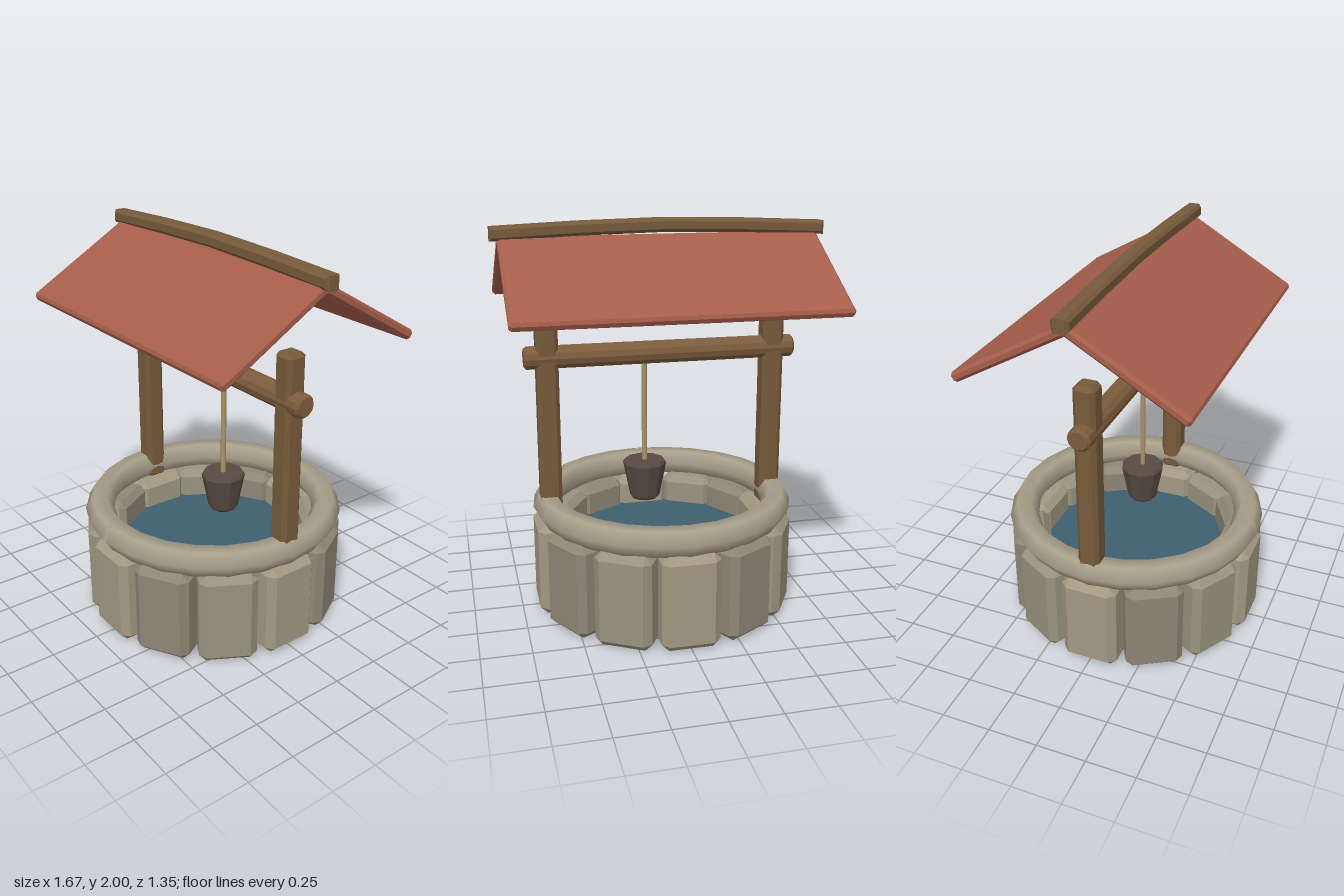
import * as THREE from 'three';
import { ConvexGeometry } from 'three/addons/geometries/ConvexGeometry.js';

const mat = (name, color, side = THREE.FrontSide) => {
  const m = new THREE.MeshStandardMaterial({ color, side });
  m.name = name;
  return m;
};

// Box with every edge chamfered by c
function chamferBox(w, h, d, c) {
  const pts = [];
  const [x, y, z] = [w / 2, h / 2, d / 2];
  for (const sx of [-1, 1]) for (const sy of [-1, 1]) for (const sz of [-1, 1]) {
    pts.push(new THREE.Vector3(sx * x, sy * (y - c), sz * (z - c)));
    pts.push(new THREE.Vector3(sx * (x - c), sy * y, sz * (z - c)));
    pts.push(new THREE.Vector3(sx * (x - c), sy * (y - c), sz * z));
  }
  return new ConvexGeometry(pts);
}

// Faceted turned shape from [radius, height] pairs, bottom to top
function turned(profile, sides) {
  const g = new THREE.LatheGeometry(profile.map(([r, y]) => new THREE.Vector2(r, y)), sides).toNonIndexed();
  g.computeVertexNormals();
  return g;
}

export function createModel() {
  const well = new THREE.Group();
  well.name = 'well';

  const stones = [mat('warm stone', 0xa39983), mat('dark stone', 0x8f8676), mat('grey stone', 0x98937f)];
  const rimStone = mat('rim stone', 0xa89f8a, THREE.DoubleSide);
  const wood = mat('post wood', 0x765a3a);
  const beamWood = mat('beam wood', 0x7c5c3c);
  const tile = mat('roof red', 0xa65e4b);
  const ropeMat = mat('rope', 0xa8946a);
  const bucketMat = mat('bucket wood', 0x574a43);
  const waterMat = mat('water', 0x3f6070);

  const add = (name, geometry, material, x = 0, y = 0, z = 0) => {
    const m = new THREE.Mesh(geometry, material);
    m.name = name;
    m.position.set(x, y, z);
    well.add(m);
    return m;
  };

  // Ring of twelve chamfered stones
  const stoneGeo = chamferBox(0.29, 0.49, 0.2, 0.035);
  for (let i = 0; i < 12; i++) {
    const a = (i * Math.PI) / 6;
    const s = add('wallStone', stoneGeo, stones[i % 3], 0.567 * Math.sin(a), 0.245, 0.567 * Math.cos(a));
    s.rotation.y = a;
  }

  // Rounded rim with a small open joint at the front
  const R = 0.6, tube = 0.075, seg = 24;
  const rim = new THREE.TorusGeometry(R, tube, 6, seg);
  const p = rim.attributes.position;
  for (let j = 0; j <= 6; j++) {
    const first = j * (seg + 1), last = first + seg;
    const tilt = (p.getX(first) - R) * 0.18;
    p.setY(first, tilt);
    p.setY(last, -tilt);
  }
  rim.rotateZ(Math.PI / 2).rotateX(Math.PI / 2);
  add('rim', rim, rimStone, 0, 0.55, 0);

  add('water', new THREE.CylinderGeometry(0.5, 0.5, 0.04, 32), waterMat, 0, 0.32, 0);

  // Posts
  const postGeo = chamferBox(0.11, 1.09, 0.11, 0.02);
  for (const s of [-1, 1]) add('post', postGeo, wood, s * 0.583, 1.025, 0);

  // Winding beam
  const beam = turned([[0, -0.697], [0.045, -0.697], [0.059, -0.683], [0.059, 0.683], [0.045, 0.697], [0, 0.697]], 12);
  add('beam', beam.rotateZ(Math.PI / 2), beamWood, 0, 1.333, 0);

  // Rope and bucket
  add('rope', new THREE.CylinderGeometry(0.014, 0.014, 0.58, 8), ropeMat, 0.09, 1.03, 0);
  add('bucket', turned([[0, 0.56], [0.068, 0.56], [0.078, 0.572], [0.113, 0.75], [0.104, 0.765], [0, 0.765]], 10),
    bucketMat, 0.09, 0, 0);

  // Two sloping roof slabs
  const slabGeo = chamferBox(1.6, 0.05, 0.64, 0.014);
  for (const s of [-1, 1]) {
    const slab = add('roofSlab', slabGeo, tile, 0, 1.745, s * 0.277);
    slab.rotation.x = s * Math.PI / 6;
  }

  // Ridge beam, bowed up in the middle
  const arch = [[-0.835, 0], [-0.42, 0.018], [0, 0.027], [0.42, 0.018], [0.835, 0]];
  const outline = [
    ...arch.map(([x, y]) => new THREE.Vector2(x, 1.905 + y)),
    ...arch.slice().reverse().map(([x, y]) => new THREE.Vector2(x, 1.973 + y)),
  ];
  const ridge = new THREE.ExtrudeGeometry(new THREE.Shape(outline), {
    depth: 0.054, bevelEnabled: true, bevelSegments: 1,
    bevelSize: 0.015, bevelThickness: 0.015, bevelOffset: -0.015,
  });
  add('ridge', ridge, wood, 0, 0, -0.027);

  return well;
}
